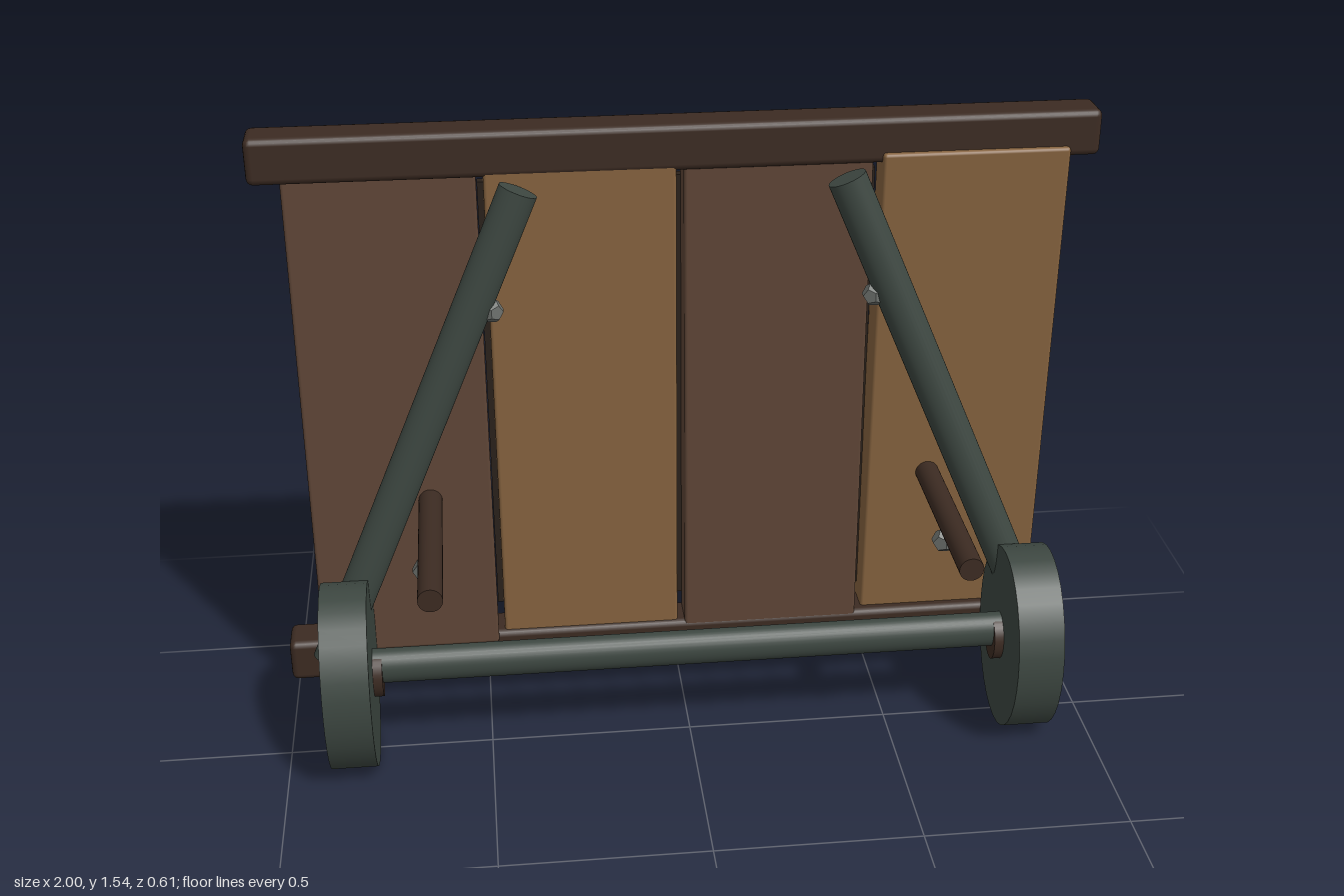
import * as THREE from 'three';
import { RoundedBoxGeometry } from 'three/addons/geometries/RoundedBoxGeometry.js';

const DEPTH = 0.8; // round parts are flattened along z

const paint = (name, color) => {
  const m = new THREE.MeshStandardMaterial({ color });
  m.name = name;
  return m;
};

export function createModel() {
  const model = new THREE.Group();
  model.name = 'woodenShieldWall';

  const tan = paint('tanWood', 0x86633f);
  const brown = paint('brownWood', 0x5e4536);
  const dark = paint('darkWood', 0x3c2b22);
  const seam = paint('seamWood', 0x2a211b);
  const iron = paint('greenIron', 0x3d4741);
  const steel = paint('boltSteel', 0x6d716d);

  const add = (name, geometry, material, x, y, z) => {
    const mesh = new THREE.Mesh(geometry, material);
    mesh.name = name;
    mesh.position.set(x, y, z);
    model.add(mesh);
    return mesh;
  };
  const beam = (name, w, h, d, material, x, y, z, bevel = 0.012) =>
    add(name, new RoundedBoxGeometry(w, h, d, 2, bevel), material, x, y, z);

  // Rod between two points, elliptical in cross-section
  const rod = (name, a, b, radius, material) => {
    const from = new THREE.Vector3(...a), to = new THREE.Vector3(...b);
    from.z /= DEPTH;
    to.z /= DEPTH;
    const dir = to.clone().sub(from);
    const geometry = new THREE.CylinderGeometry(radius, radius, dir.length(), 32);
    geometry.applyQuaternion(
      new THREE.Quaternion().setFromUnitVectors(new THREE.Vector3(0, 1, 0), dir.normalize()));
    const mid = from.add(to).multiplyScalar(0.5);
    geometry.translate(mid.x, mid.y, mid.z);
    geometry.scale(1, 1, DEPTH);
    return add(name, geometry, material, 0, 0, 0);
  };

  const bolt = (name, x, y, z, r = 0.033) =>
    add(name, new THREE.DodecahedronGeometry(r, 0).scale(1, 1, DEPTH), steel, x, y, z);

  // Top and bottom rails
  beam('topRail', 1.97, 0.11, 0.104, dark, 0, 1.483, -0.22, 0.016);
  beam('bottomRail', 2.0, 0.11, 0.104, dark, 0, 0.157, -0.22, 0.016);

  // Four planks, each leaning slightly differently
  [
    [-0.692, brown, -0.033],
    [-0.233, tan, 0.008],
    [0.228, brown, -0.008],
    [0.69, tan, 0.033],
  ].forEach(([x, material, lean]) => {
    beam('plank', 0.443, 1.268, 0.09, material, x, 0.822, -0.22, 0.008).rotation.x = lean;
    bolt('backBolt', x, 1.256, -0.283, 0.031);
    bolt('backBolt', x, 0.375, -0.283, 0.031);
  });

  // Seam strips and batten on the back
  for (const x of [-0.46, 0, 0.46, 0.918]) {
    add('seamStrip', new THREE.BoxGeometry(0.018, 1.14, 0.022), seam, x, 0.82, -0.266);
  }
  add('backBatten', new THREE.BoxGeometry(1.11, 0.082, 0.026), dark, 0.01, 1.165, -0.268);

  // Axle joining the wheels
  rod('axle', [-0.8, 0.26, 0.027], [0.8, 0.26, 0.027], 0.045, iron);

  for (const s of [-1, 1]) {
    // Wheel with its hub
    rod('wheel', [s * 0.78, 0.24, 0.03], [s * 0.893, 0.24, 0.03], 0.24, iron);
    rod('hub', [s * 0.757, 0.24, 0.03], [s * 0.905, 0.24, 0.03], 0.06, dark);
    // Slanted brace and handle peg
    rod('brace', [s * 0.887, 0.225, -0.069], [s * 0.377, 1.414, -0.122], 0.046, iron);
    rod('handlePeg', [s * 0.621, 0.605, -0.185], [s * 0.621, 0.605, 0.305], 0.029, dark);
    // Front bolts
    bolt('frontBolt', s * 0.64, 0.488, -0.035);
    bolt('braceBolt', s * 0.45, 1.127, -0.11, 0.03);
  }

  return model;
}
